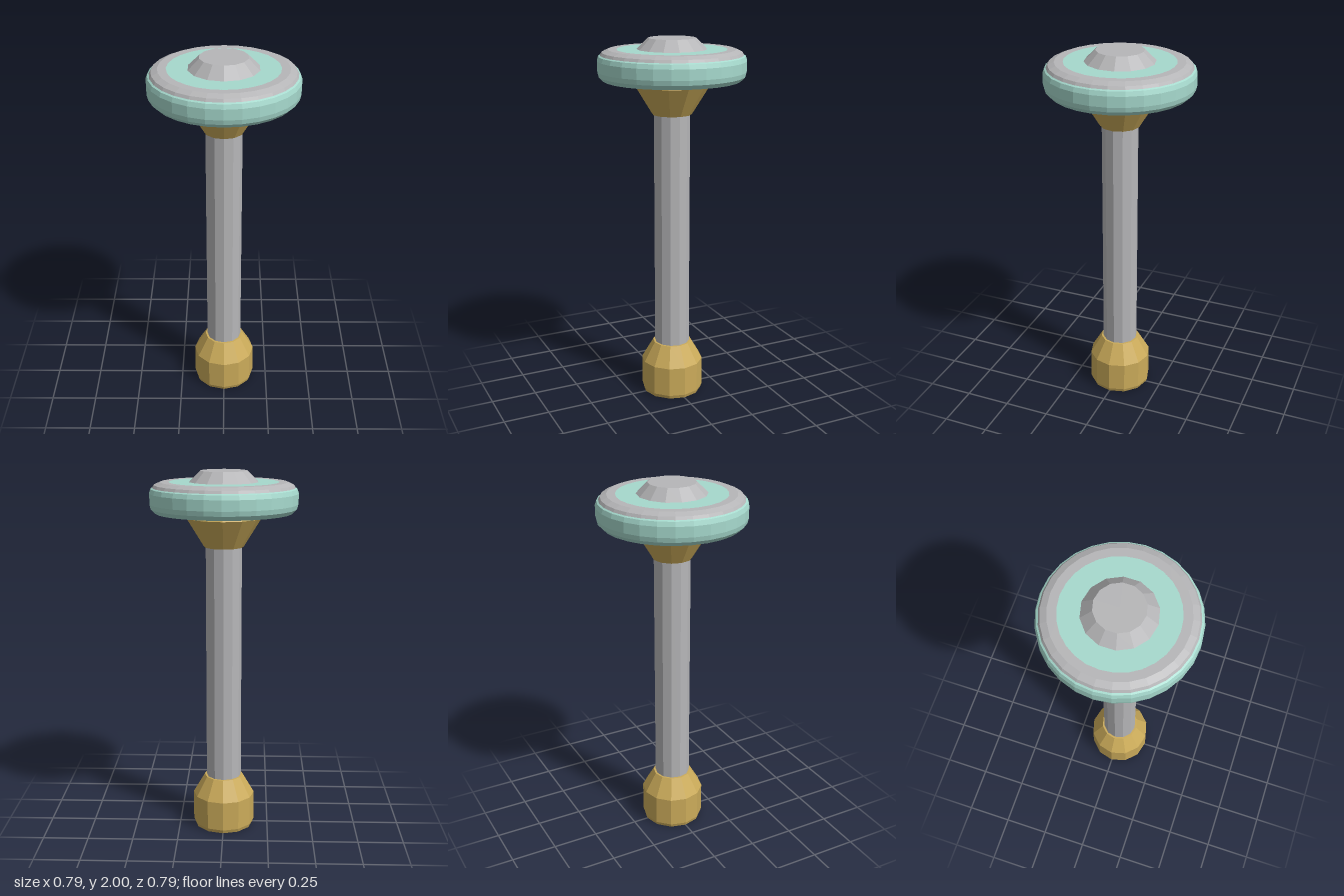
import * as THREE from 'three';

const flat = (name, color) => {
  const m = new THREE.MeshStandardMaterial({ color, flatShading: true });
  m.name = name;
  return m;
};

export function createModel() {
  const teal = flat('teal', 0xa6d9cd);
  const grey = flat('grey', 0xb6b6b8);
  const gold = flat('gold', 0xcbab5a);
  const group = new THREE.Group();

  // Faceted turned part; profile is listed from bottom to top as [radius, y]
  const turn = (name, material, sides, profile) => {
    const points = profile.map(([r, y]) => new THREE.Vector2(r, y));
    const mesh = new THREE.Mesh(new THREE.LatheGeometry(points, sides), material);
    mesh.name = name;
    group.add(mesh);
  };

  // Weighted foot with a tapered shoulder
  turn('foot', gold, 12, [[0, 0], [0.165, 0], [0.172, 0.02], [0.172, 0.185], [0.108, 0.295], [0, 0.295]]);

  // Long shaft
  turn('shaft', grey, 12, [[0.097, 0.28], [0.097, 1.62]]);

  // Flared collar under the head
  turn('collar', gold, 12, [[0, 1.6], [0.106, 1.6], [0.202, 1.755], [0.195, 1.765], [0, 1.765]]);

  // Round head: underside step, rim and side wall
  turn('head', teal, 28, [
    [0, 1.763], [0.19, 1.763], [0.2, 1.778], [0.29, 1.778], [0.365, 1.782],
    [0.388, 1.805], [0.394, 1.83], [0.394, 1.885], [0.386, 1.908], [0.376, 1.914],
  ]);

  // Bevelled ring around the top of the head
  turn('topRing', grey, 28, [[0.378, 1.912], [0.368, 1.928], [0.335, 1.942], [0.29, 1.942]]);

  // Coloured band inside the ring
  turn('topBand', teal, 28, [[0.291, 1.942], [0.17, 1.942]]);

  // Raised central button
  turn('button', grey, 14, [[0.187, 1.94], [0.126, 2], [0, 2]]);

  return group;
}
